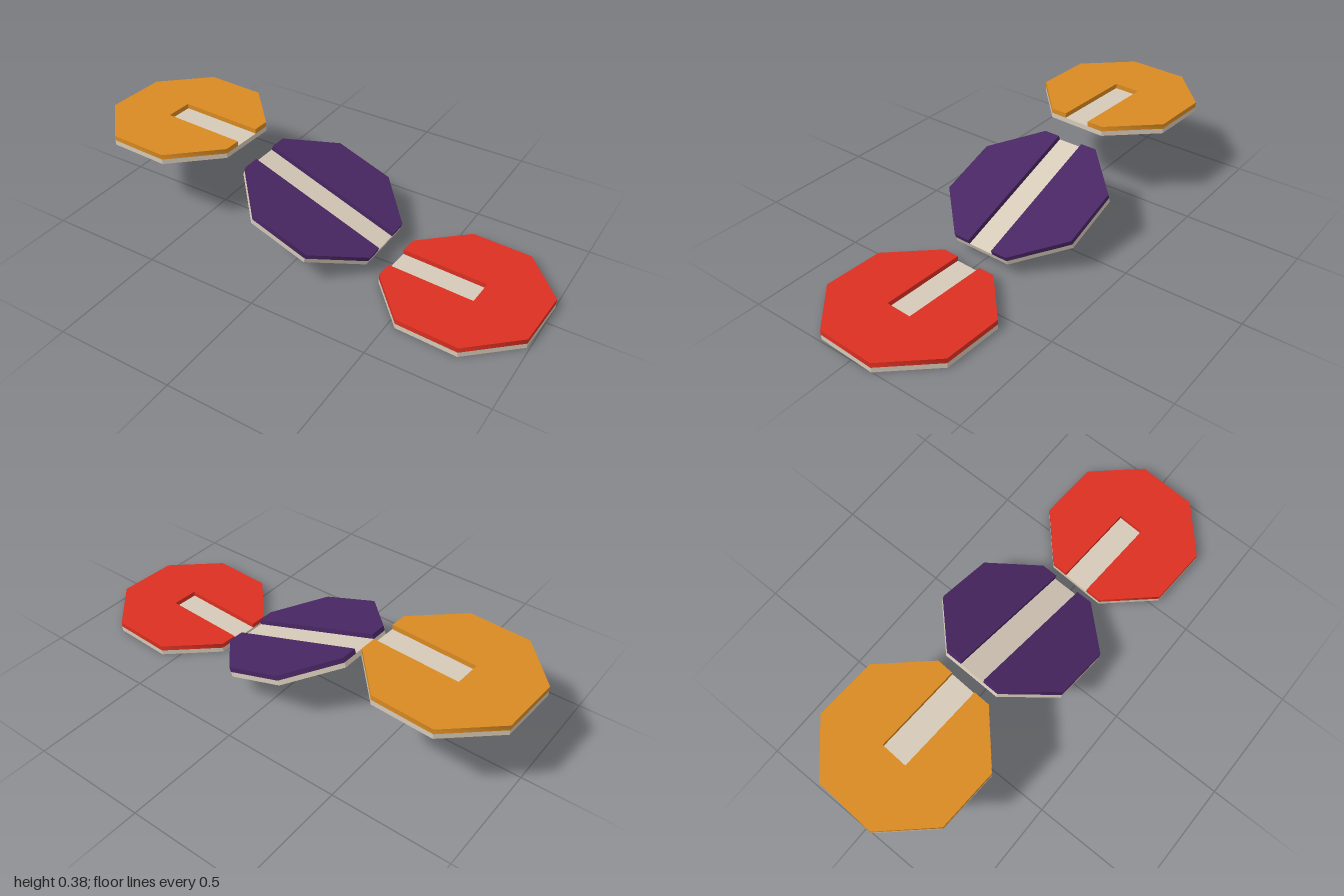
import * as THREE from 'three';
import { toCreasedNormals } from 'three/addons/utils/BufferGeometryUtils.js';

const RADIUS = 0.343;                              // corner radius of the octagon
const APOTHEM = RADIUS * Math.cos(Math.PI / 8);    // middle of a side
const LAYER = 0.0213;                              // thickness of each layer
const HALF_SLOT = 0.0585;
const SLOT_END = -0.06;
const deg = THREE.MathUtils.degToRad;

// Octagon corners, counter-clockwise, with flat sides facing +x and -x
const corners = Array.from({ length: 8 }, (_, i) => {
  const a = Math.PI / 8 + i * Math.PI / 4;
  return [RADIUS * Math.cos(a), RADIUS * Math.sin(a)];
});

// Flat slab from an outline, lying in the xz plane with its bottom at y
function slab(name, outline, y, color, smoothSides) {
  const shape = new THREE.Shape(outline.map(([x, z]) => new THREE.Vector2(x, z)));
  let geometry = new THREE.ExtrudeGeometry(shape, { depth: LAYER, bevelEnabled: false });
  geometry.rotateX(-Math.PI / 2);
  if (smoothSides) geometry = toCreasedNormals(geometry, 0.9);
  const mesh = new THREE.Mesh(geometry, new THREE.MeshStandardMaterial({ color }));
  mesh.name = name;
  mesh.position.y = y;
  return mesh;
}

// Plate: plain octagonal base with a coloured, grooved layer on top
function plate(name, color, throughGroove) {
  const group = new THREE.Group();
  group.name = name;
  group.add(slab('base', corners, -LAYER, 0xd6cab8, false));
  if (throughGroove) {
    const half = [[APOTHEM, HALF_SLOT], ...corners.slice(0, 4), [-APOTHEM, HALF_SLOT]];
    group.add(slab('backCover', half, 0, color, true));
    group.add(slab('frontCover', half.map(([x, z]) => [-x, -z]), 0, color, true));
  } else {
    group.add(slab('slottedCover', [
      [APOTHEM, HALF_SLOT], ...corners, [APOTHEM, -HALF_SLOT],
      [SLOT_END, -HALF_SLOT], [SLOT_END, HALF_SLOT],
    ], 0, color, true));
  }
  return group;
}

export function createModel() {
  const model = new THREE.Group();
  model.name = 'steppedOctagonPlates';

  // High plate, slot opening toward the middle
  const upper = plate('upperPlate', 0xd98a22, false);
  upper.position.set(-0.679, 0.358, -0.0165);
  upper.rotation.y = deg(-2.7);

  // Sloping plate, groove running right through
  const ramp = plate('rampPlate', 0x482663, true);
  ramp.position.set(0.003, 0.183, -0.016);
  ramp.rotation.set(deg(0.45), deg(-1), deg(-19.6), 'YZX');

  // Low plate, turned to face the ramp
  const lower = plate('lowerPlate', 0xdb3022, false);
  lower.position.set(0.679, LAYER, 0.0175);
  lower.rotation.y = deg(180 - 2.7);

  model.add(upper, ramp, lower);
  return model;
}
